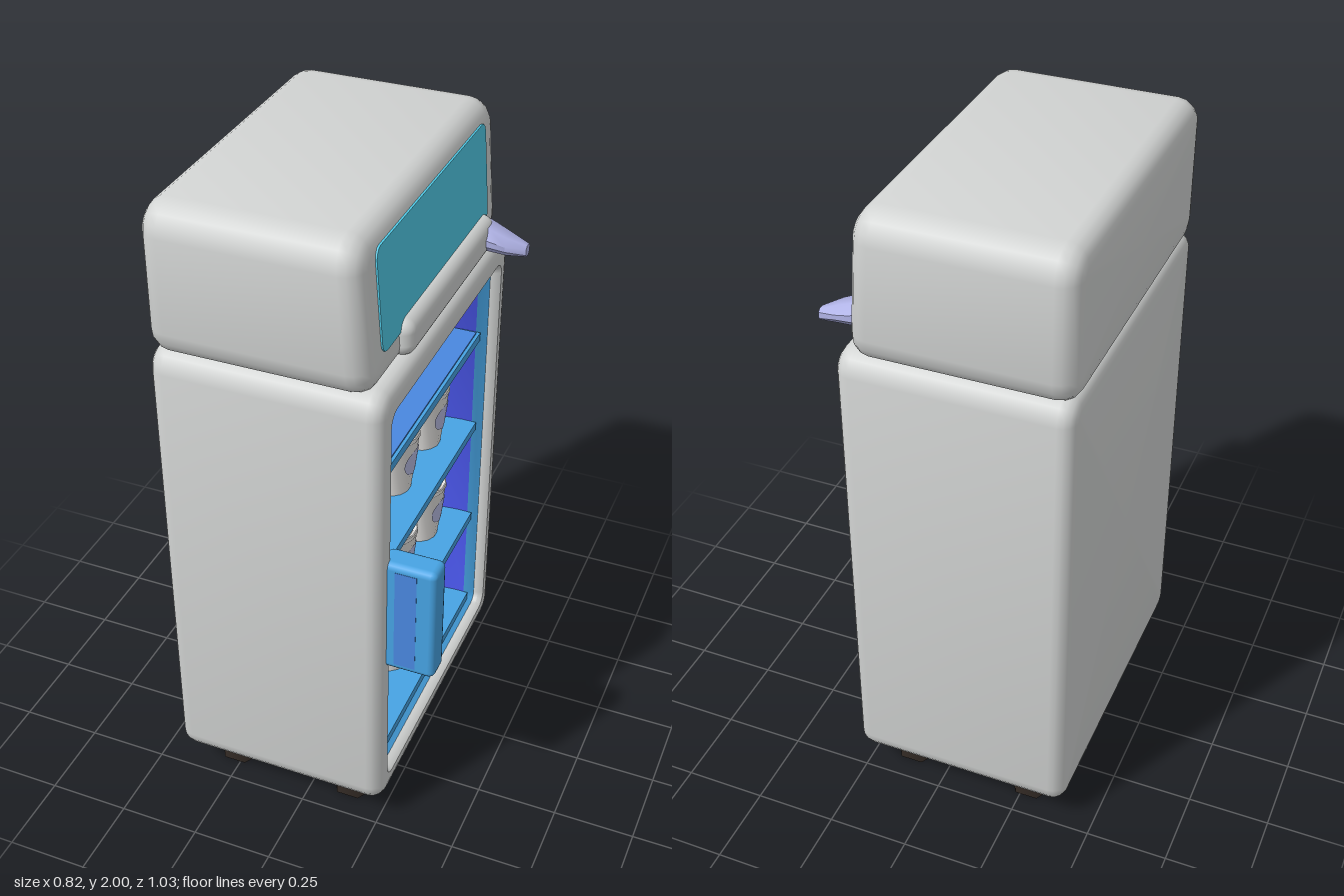
import * as THREE from 'three';
import { toCreasedNormals } from 'three/addons/utils/BufferGeometryUtils.js';
import { RoundedBoxGeometry } from 'three/addons/geometries/RoundedBoxGeometry.js';

const mat = (name, color, side = THREE.FrontSide) => {
  const m = new THREE.MeshStandardMaterial({ color, side });
  m.name = name;
  return m;
};

// One rounded-rectangle cross-section facing +x
const ring = (x, z0, z1, y0, y1, r) => ({ x, z0, z1, y0, y1, r });
const inset = (s, x, d) => ring(x, s.z0 + d, s.z1 - d, s.y0 + d, s.y1 - d, Math.max(s.r - d, 0.012));
const centre = (s) => ring(s.x, (s.z0 + s.z1) / 2, (s.z0 + s.z1) / 2, (s.y0 + s.y1) / 2, (s.y0 + s.y1) / 2, 0);

// Joins cross-sections into a skin; warp shifts x by a rule
function loft(rings, steps = 4, warp = (x) => x) {
  const pos = [], idx = [], n = 4 * (steps + 1);
  for (const s of rings) {
    for (let c = 0; c < 4; c++) {
      const right = c === 0 || c === 3, top = c < 2;
      for (let k = 0; k <= steps; k++) {
        const a = (c + k / steps) * Math.PI / 2;
        const z = (right ? s.z0 + s.r : s.z1 - s.r) - s.r * Math.cos(a);
        const y = (top ? s.y1 - s.r : s.y0 + s.r) + s.r * Math.sin(a);
        pos.push(warp(s.x, y), y, z);
      }
    }
  }
  for (let i = 0; i < rings.length - 1; i++) {
    for (let j = 0; j < n; j++) {
      const a = i * n + j, b = i * n + (j + 1) % n;
      idx.push(a, b, b + n, a, b + n, a + n);
    }
  }
  const g = new THREE.BufferGeometry();
  g.setAttribute('position', new THREE.Float32BufferAttribute(pos, 3));
  g.setIndex(idx);
  return toCreasedNormals(g, 0.75);
}

// Back-to-front run of cross-sections with rounded ends
function pillow(s, x0, x1, b) {
  const back = [], N = 4;
  for (let k = 0; k <= N; k++) {
    const a = k / N * Math.PI / 2;
    back.push(inset(s, x0 + b * (1 - Math.cos(a)), b * (1 - Math.sin(a))));
  }
  const front = back.map((o) => ({ ...o, x: x1 - (o.x - x0) })).reverse();
  return [centre(back[0]), ...back, ...front];
}

export function createModel() {
  const root = new THREE.Group();
  const shell = mat('pale grey shell', 0xd2d4d3);
  const cyan = mat('cyan panel', 0x52cdea);
  const blue = mat('shelf blue', 0x47a4e4);
  const steel = mat('muted blue', 0x4a88e0);
  const indigo = mat('interior indigo', 0x4f5cfa);
  const white = mat('cup white', 0xf6f4f1);
  const label = mat('label lavender', 0xc8ccf6, THREE.DoubleSide);
  const lilac = mat('spout lilac', 0xb0b3e6);
  const dark = mat('foot black', 0x352c26);

  const add = (name, geo, m, x = 0, y = 0, z = 0, parent = root) => {
    const mesh = new THREE.Mesh(geo, m);
    mesh.name = name;
    mesh.position.set(x, y, z);
    parent.add(mesh);
    return mesh;
  };

  // Cabinet with an open front, facing +x
  const bodyOutline = ring(0, -0.515, 0.515, 0.085, 1.575, 0.07);
  const mouth = ring(0.25, -0.435, 0.435, 0.165, 1.485, 0.03);
  add('cabinet', loft([...pillow(bodyOutline, -0.415, 0.265, 0.045),
    inset(mouth, 0.265, -0.012), mouth, inset(mouth, 0.235, 0)]), shell);
  const rim = inset(mouth, 0.205, 0.022);
  add('openingTrim', loft([inset(mouth, 0.235, 0), rim]), blue);
  const wall = ring(-0.1, -0.385, 0.385, 0.19, 1.46, 0.012);
  add('interior', loft([rim, wall, centre(wall)]), indigo);
  add('ceiling', new THREE.BoxGeometry(0.3, 0.006, 0.8), blue, 0.055, 1.454, 0);
  add('ceilingLamp', new THREE.BoxGeometry(0.07, 0.008, 0.17), dark, 0.08, 1.449, -0.03);

  // Upper housing, its front leaning back slightly
  const lean = (x, y) => x > 0 ? x + (1.8 - y) * 0.07 : x;
  const headRings = pillow(ring(0, -0.515, 0.515, 1.55, 2, 0.085), -0.415, 0.21, 0.06);
  headRings.push(centre(headRings[headRings.length - 1]));
  add('upperHousing', loft(headRings, 4, lean), shell);
  const pane = ring(0.215, -0.41, 0.41, 1.65, 1.95, 0.03);
  add('displayPanel', loft([inset(pane, 0.209, 0), pane, centre(pane)], 3, lean), cyan);
  add('frontLedge', new RoundedBoxGeometry(0.11, 0.115, 0.69, 3, 0.04), shell, 0.202, 1.623, -0.055);

  // Faceted spout
  const tip = ring(0.365, -0.385, -0.35, 1.575, 1.61, 0.008);
  add('spout', loft([
    ring(0.2, -0.41, -0.305, 1.59, 1.68, 0.025),
    ring(0.26, -0.41, -0.305, 1.585, 1.655, 0.025),
    ring(0.31, -0.4, -0.315, 1.58, 1.635, 0.02),
    tip, centre(tip)], 1), lilac);

  // Door handle with an inlay on its outer side
  add('handle', new RoundedBoxGeometry(0.17, 0.385, 0.085, 2, 0.02), blue, 0.325, 0.825, 0.425);
  add('handleInlay', new THREE.BoxGeometry(0.065, 0.34, 0.006), steel, 0.32, 0.825, 0.4655);

  // Shelves, the top one with a darker surface
  for (const y of [0.19, 0.54, 0.905, 1.24]) {
    add('shelf', new THREE.BoxGeometry(0.315, 0.028, 0.82), blue, 0.0625, y, 0);
  }
  add('topShelfMat', new THREE.BoxGeometry(0.3, 0.006, 0.8), steel, 0.06, 1.256, 0);

  // Tapered cups with slim rims and oval labels
  const h = 0.205, rBot = 0.062, rTop = 0.084;
  const cupGeo = toCreasedNormals(new THREE.LatheGeometry([
    [0, 0], [rBot, 0], [rTop, h - 0.02], [rTop + 0.003, h - 0.016], [rTop + 0.003, h - 0.002],
    [rTop, h], [rTop - 0.012, h - 0.01], [0, h - 0.014],
  ].map((p) => new THREE.Vector2(...p)), 14), 0.6);
  const pts = [], tris = [], rows = 8;
  for (let i = 0; i <= rows; i++) {
    const v = -1 + 2 * i / rows, y = 0.11 + v * 0.05;
    const r = rBot + (rTop - rBot) * y / (h - 0.02) + 0.003;
    for (let j = 0; j <= rows; j++) {
      const a = (-1 + 2 * j / rows) * Math.sqrt(1 - v * v) * 0.65;
      pts.push(r * Math.cos(a), y, -r * Math.sin(a));
      if (i < rows && j < rows) {
        const k = i * (rows + 1) + j, up = k + rows + 1;
        tris.push(k, k + 1, up + 1, k, up + 1, up);
      }
    }
  }
  const labelGeo = new THREE.BufferGeometry();
  labelGeo.setAttribute('position', new THREE.Float32BufferAttribute(pts, 3));
  labelGeo.setIndex(tris);
  labelGeo.computeVertexNormals();
  for (const y of [0.203, 0.555, 0.92]) {
    for (const z of [-0.255, 0, 0.25]) {
      const cup = new THREE.Group();
      cup.name = 'cup';
      cup.position.set(0.09, y, z);
      add('cupBody', cupGeo, white, 0, 0, 0, cup);
      add('cupLabel', labelGeo, label, 0, 0, 0, cup);
      root.add(cup);
    }
  }

  // Feet
  for (const x of [-0.27, 0.125]) {
    for (const z of [-0.37, 0.37]) {
      add('foot', new THREE.CylinderGeometry(0.074, 0.07, 0.1, 6), dark, x, 0.05, z).rotation.y = Math.PI / 6;
    }
  }
  return root;
}
